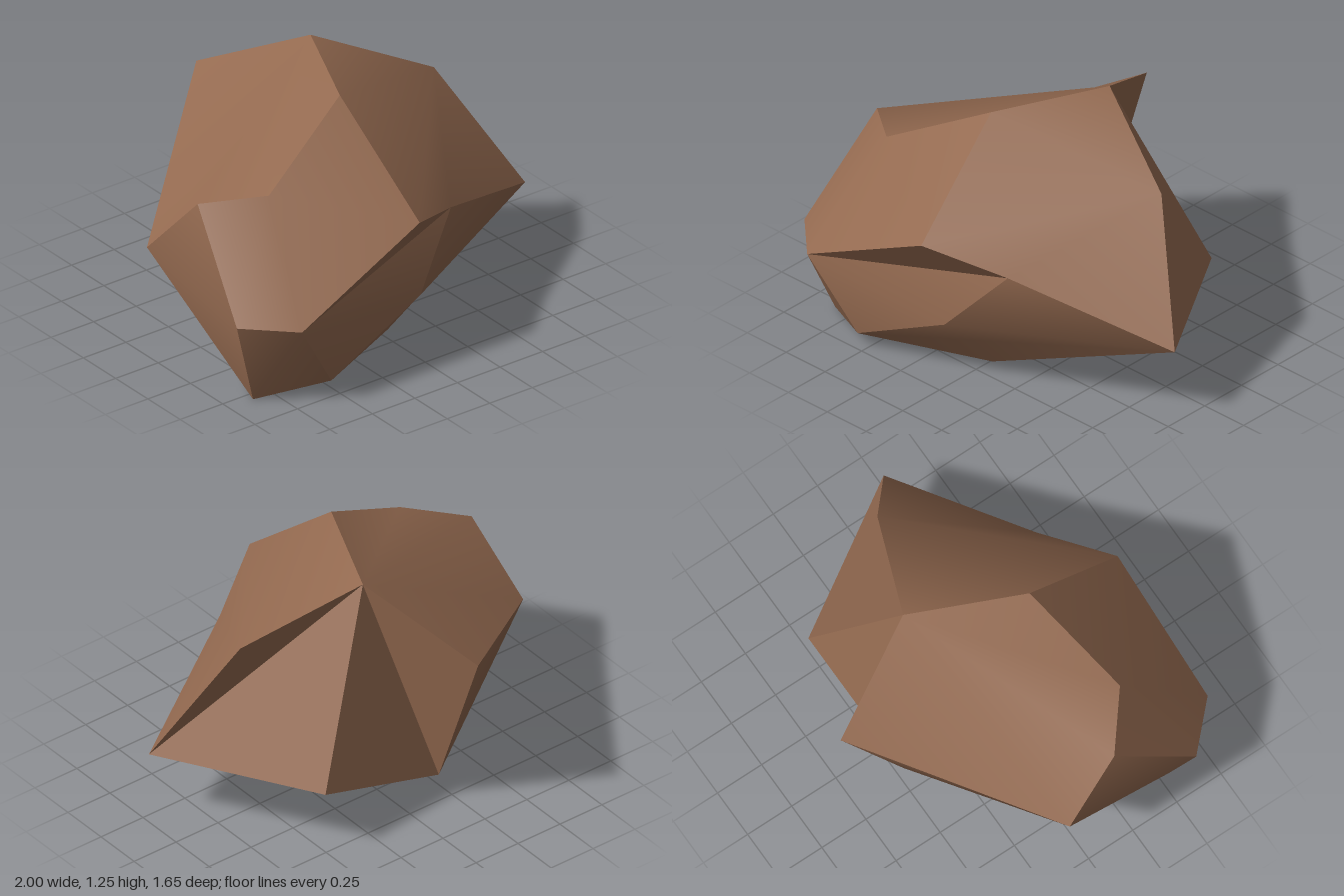
import * as THREE from 'three';

// Corner points of the boulder
const P = {
  A: [-0.15, 0.97, -0.825], C: [0.535, 0.37, -0.54], D: [0.115, 1.255, -0.29],
  E: [0.665, 1.0, -0.06], F: [1.0, 0.39, 0.205], G: [0.28, 0.66, 0.58],
  H: [-0.07, 0.79, 0.8], I: [-0.13, 1.255, 0.26], J: [-0.78, 0.45, 0.825],
  K: [-1.0, 0.45, 0.61], L: [-0.92, 0.91, 0.2], M: [-0.66, 0.96, 0.41],
  N: [-0.99, 0.57, -0.1], B: [-0.86, 0.0, 0.55], Q: [-0.54, 0.075, 0.735],
  R: [0.03, 0.02, 0.42], S: [0.0, 0.345, 0.715], T: [-0.18, 0.14, -0.49],
};

// Facets, counter-clockwise from outside, each fanned from its first corner
const FACETS = [
  'DANLMI',                 // sloping top
  'MLKJHI',                 // upper front
  'EDIHGF',                 // upper front, +x side
  'JGH',                    // underside of the ledge
  'JQSG', 'FGSQR',          // lower front
  'JKBQ', 'NBKL',           // -x end
  'TCFRQB',                 // bottom
  'TBNA', 'DTA', 'DCT',     // back
  'DFC', 'DEF',             // +x end
];

export function createModel() {
  const stone = new THREE.MeshStandardMaterial({ color: 0x946a50 });
  stone.name = 'brown stone';

  // Corners are shared inside a facet (soft) but not between facets (sharp)
  const positions = [], indices = [];
  for (const facet of FACETS) {
    const first = positions.length / 3;
    for (const corner of facet) positions.push(...P[corner]);
    for (let i = 1; i < facet.length - 1; i++) indices.push(first, first + i, first + i + 1);
  }

  const geometry = new THREE.BufferGeometry();
  geometry.setAttribute('position', new THREE.Float32BufferAttribute(positions, 3));
  geometry.setIndex(indices);
  geometry.computeVertexNormals();

  const boulder = new THREE.Mesh(geometry, stone);
  boulder.name = 'boulder';

  const group = new THREE.Group();
  group.name = 'rock';
  group.add(boulder);
  return group;
}
